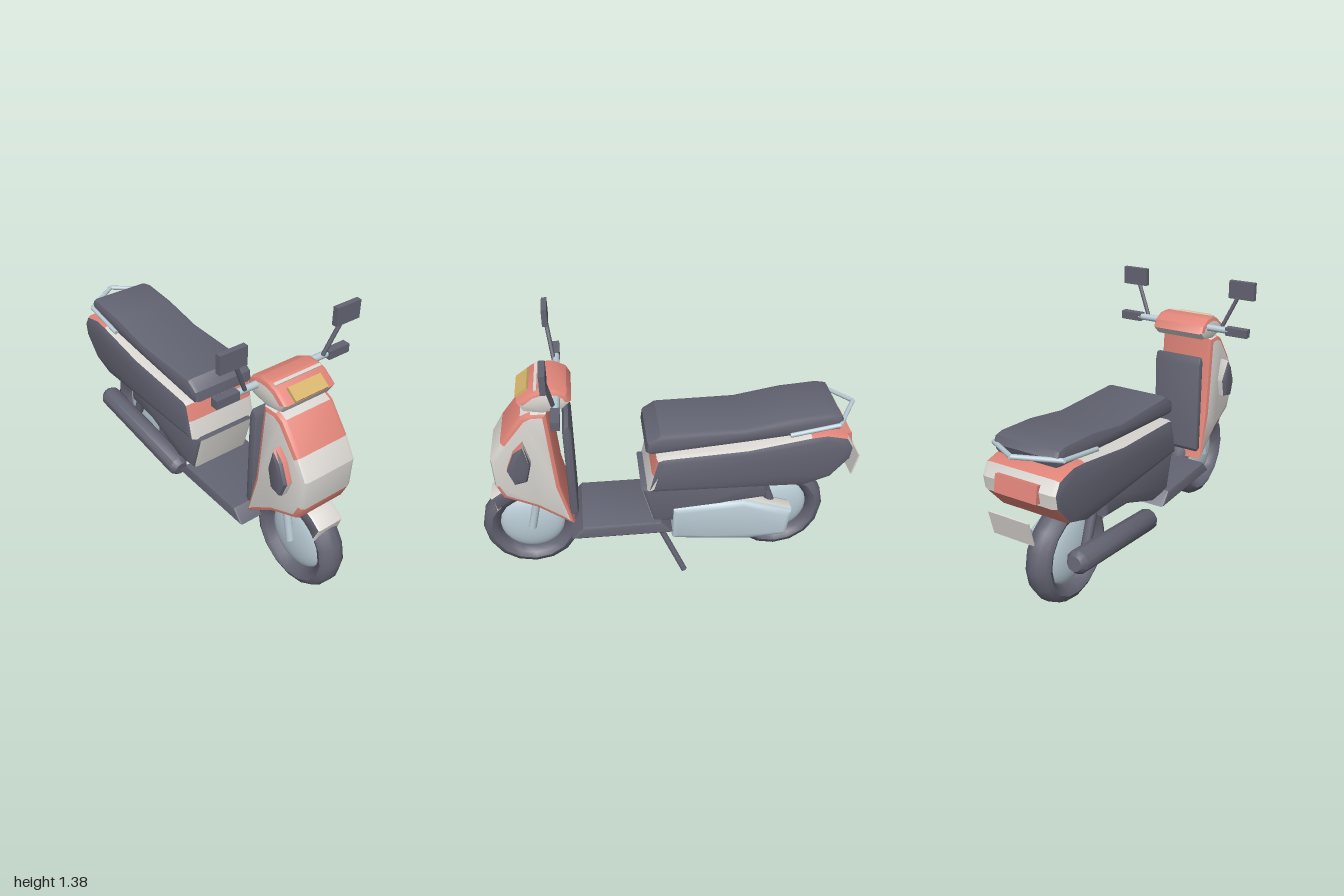
import * as THREE from 'three';
import { toCreasedNormals } from 'three/addons/utils/BufferGeometryUtils.js';

const V = (x, y, z) => new THREE.Vector3(x, y, z);
const material = (name, color) => Object.assign(new THREE.MeshStandardMaterial({ color }), { name });

export function createModel() {
  const red = material('coral paint', 0xe18579);
  const white = material('warm white paint', 0xdad7d2);
  const dark = material('dark slate', 0x636472);
  const steel = material('pale steel', 0xbaccd5);
  const amber = material('amber lens', 0xd6b56b);
  const palette = [red, white, dark, steel];
  const [RED, WHITE, DARK, STEEL] = [0, 1, 2, 3];

  const model = new THREE.Group();
  model.name = 'scooter';

  function add(name, geometry, mat, position) {
    const mesh = new THREE.Mesh(geometry, mat);
    mesh.name = name;
    if (position) mesh.position.copy(position);
    model.add(mesh);
    return mesh;
  }

  // Side profile of [z, y] points, extruded across x with chamfered edges
  function slab(points, x0, x1, bevel, crease = 0.5) {
    const shape = new THREE.Shape(points.map(([z, y]) => new THREE.Vector2(z, y)));
    const geo = new THREE.ExtrudeGeometry(shape, {
      depth: x1 - x0 - 2 * bevel, bevelEnabled: true, bevelSize: bevel,
      bevelThickness: bevel, bevelOffset: -bevel, bevelSegments: 2,
    });
    geo.rotateY(-Math.PI / 2);
    geo.translate(x1 - bevel, 0, 0);
    return toCreasedNormals(geo, crease);
  }

  // Assign a palette entry to each triangle from its centre and normal
  function paint(geo, rule) {
    const p = geo.attributes.position, tri = new THREE.Triangle();
    const c = V(), n = V();
    geo.clearGroups();
    let start = 0, current = -1;
    for (let i = 0; i < p.count; i += 3) {
      tri.setFromAttributeAndIndices(p, i, i + 1, i + 2);
      const index = rule(tri.getMidpoint(c), tri.getNormal(n));
      if (index !== current) {
        if (i > start) geo.addGroup(start, i - start, current);
        start = i;
        current = index;
      }
    }
    geo.addGroup(start, p.count - start, current);
    return geo;
  }

  // Straight round bar between two points
  function bar(name, a, b, r, mat, sides = 10) {
    const mesh = add(name, new THREE.CylinderGeometry(r, r, a.distanceTo(b), sides), mat);
    mesh.position.copy(a).add(b).multiplyScalar(0.5);
    mesh.quaternion.setFromUnitVectors(V(0, 1, 0), b.clone().sub(a).normalize());
  }

  // Wheels: faceted tyre with a domed disc
  const section = [];
  for (let i = 0; i <= 10; i++) {
    const a = i / 10 * Math.PI * 2 + Math.PI / 10;
    section.push(new THREE.Vector2(0.218 + 0.047 * Math.cos(a), 0.07 * Math.sin(a)));
  }
  for (const [name, z] of [['front', 0.74], ['rear', -0.59]]) {
    const tyre = new THREE.LatheGeometry(section, 16);
    tyre.rotateZ(Math.PI / 2);
    add(name + 'Tyre', toCreasedNormals(tyre, 0.75), dark, V(0, 0.27, z));
    const disc = new THREE.SphereGeometry(0.176, 24, 14);
    disc.scale(0.33, 1, 1);
    add(name + 'WheelDisc', disc, steel, V(0, 0.27, z));
  }

  // Front mudguard: arched channel, pale crown with dark cheeks
  const arch = [];
  for (const [r, from, to] of [[0.29, 47, 125], [0.212, 125, 36]])
    for (let i = 0; i <= 6; i++) {
      const a = THREE.MathUtils.degToRad(from + (to - from) * i / 6);
      arch.push([0.74 + r * Math.cos(a), 0.27 + r * Math.sin(a)]);
    }
  add('frontMudguard', paint(slab(arch, -0.078, 0.078, 0.015),
    (c, n) => Math.abs(n.x) > 0.9 ? DARK : WHITE), palette);

  // Fork legs, rear shock absorbers
  for (const s of [1, -1]) {
    bar('forkLeg', V(s * 0.062, 0.48, 0.695), V(s * 0.062, 0.27, 0.74), 0.021, steel);
    bar('shockAbsorber', V(s * 0.095, 0.55, -0.47), V(s * 0.095, 0.3, -0.56), 0.026, dark);
  }

  // Front shield: pale sides and nose, coral bands and rear edge
  const shield = slab([
    [0.73, 1.02], [0.68, 1.042], [0.60, 1.04], [0.585, 0.85], [0.565, 0.6], [0.51, 0.34],
    [0.57, 0.375], [0.70, 0.47], [0.86, 0.545], [0.893, 0.62], [0.90, 0.78], [0.84, 0.88],
  ].reverse(), -0.155, 0.155, 0.025);
  add('frontShield', paint(shield, (c, n) => {
    if (Math.abs(n.x) > 0.93 || n.y > 0.85) return WHITE;
    if (n.z < -0.2) return RED;
    return c.y > 0.88 || c.y < 0.615 ? RED : WHITE;
  }), palette);

  // Side vents on the shield
  const vent = [[0.73, 0.89], [0.70, 0.77], [0.725, 0.67], [0.79, 0.655], [0.82, 0.74], [0.78, 0.84]].reverse();
  for (const s of [1, -1]) {
    const geo = slab(vent, s > 0 ? 0.12 : -0.205, s > 0 ? 0.205 : -0.12, 0.022);
    add('shieldVent', paint(geo, (c, n) =>
      Math.abs(n.x) > 0.35 ? DARK : n.z > 0.2 && n.y > -0.1 ? RED : WHITE), palette);
  }

  // Leg panel behind the shield
  add('legPanel', slab([
    [0.53, 0.40], [0.537, 0.92], [0.525, 0.95], [0.505, 0.95], [0.492, 0.91], [0.488, 0.41], [0.50, 0.39],
  ], -0.14, 0.14, 0.012), dark);

  // Floorboard
  add('floorboard', slab([[0.53, 0.278], [0.47, 0.348], [0.06, 0.348], [0.0, 0.278]], -0.2, 0.2, 0.012), dark);

  // Handlebar cover: coral over pale, with a trim strip and headlamp
  const cover = slab([
    [0.74, 1.10], [0.67, 1.15], [0.62, 1.166], [0.56, 1.165], [0.50, 1.135], [0.48, 1.095],
    [0.52, 1.055], [0.62, 1.037], [0.71, 1.053],
  ], -0.155, 0.155, 0.024);
  add('handlebarCover', paint(cover, (c, n) =>
    Math.abs(n.x) > 0.93 || c.y < 1.093 ? WHITE : RED), palette);
  add('coverTrim', new THREE.BoxGeometry(0.27, 0.008, 0.016), white, V(0, 1.16, 0.645)).rotation.x = 0.3;
  add('headlamp', new THREE.BoxGeometry(0.19, 0.02, 0.072), amber, V(0, 1.126, 0.712)).rotation.x = 0.62;

  // Handlebars, grips and mirrors
  for (const s of [1, -1]) {
    bar('handlebar', V(s * 0.12, 1.12, 0.55), V(s * 0.28, 1.12, 0.55), 0.018, steel);
    add('grip', new THREE.BoxGeometry(0.125, 0.044, 0.042), dark, V(s * 0.327, 1.118, 0.554));
    bar('mirrorStem', V(s * 0.23, 1.13, 0.563), V(s * 0.31, 1.31, 0.59), 0.011, dark, 8);
    add('mirror', new THREE.BoxGeometry(0.145, 0.094, 0.028), dark, V(s * 0.327, 1.337, 0.592));
  }

  // Rear body: dark sides, coral and pale ends
  const body = slab([
    [0.13, 0.555], [0.105, 0.66], [0.08, 0.75], [0.05, 0.762], [-0.38, 0.785], [-0.70, 0.838],
    [-0.78, 0.845], [-0.89, 0.82], [-0.925, 0.76], [-0.915, 0.69], [-0.82, 0.58], [-0.69, 0.535],
  ].reverse(), -0.208, 0.208, 0.03);
  add('rearBody', paint(body, (c, n) => {
    if (Math.abs(n.x) > 0.9) return DARK;
    if (n.z > 0.5) return Math.abs(n.x) > 0.6 ? DARK : c.y > 0.66 ? RED : WHITE;
    if (c.z < -0.68) return n.y > 0.55 || n.y < -0.4 ? RED : WHITE;
    return n.y > 0 ? WHITE : DARK;
  }), palette);

  // Housing under the rear body, with a pale front
  const housing = slab([
    [0.16, 0.56], [0.10, 0.335], [-0.05, 0.33], [-0.30, 0.43], [-0.50, 0.45], [-0.50, 0.57],
  ].reverse(), -0.172, 0.172, 0.02);
  add('underseatHousing', paint(housing, (c, n) =>
    n.z > 0.4 && Math.abs(n.x) < 0.85 ? WHITE : DARK), palette);

  // Seat
  add('seat', slab([
    [0.133, 0.785], [0.125, 0.84], [0.06, 0.882], [-0.36, 0.887], [-0.6, 0.93], [-0.8, 0.945],
    [-0.85, 0.935], [-0.868, 0.9], [-0.85, 0.855], [-0.6, 0.832], [-0.37, 0.81], [0.11, 0.77],
  ], -0.18, 0.18, 0.025), dark);

  // Grab rail round the tail
  const rail = [V(0.19, 0.85, -0.59), V(0.19, 0.893, -0.84), V(0, 0.912, -0.955),
    V(-0.19, 0.893, -0.84), V(-0.19, 0.85, -0.59)];
  for (let i = 0; i < 4; i++) bar('grabRail', rail[i], rail[i + 1], 0.012, steel, 8);

  // Tail lamp and rear plate
  add('tailLamp', new THREE.BoxGeometry(0.23, 0.085, 0.035), red, V(0, 0.748, -0.922)).rotation.x = 0.18;
  add('rearPlate', new THREE.BoxGeometry(0.22, 0.125, 0.008), white, V(0, 0.58, -0.98)).rotation.x = -0.24;

  // Engine cover on the left side: steel face, pale rim
  const engine = slab([
    [0.0, 0.42], [-0.26, 0.44], [-0.38, 0.44], [-0.645, 0.35], [-0.625, 0.19], [-0.41, 0.175],
    [-0.18, 0.197], [0.0, 0.22],
  ].reverse(), 0.065, 0.19, 0.03, 0.9);
  add('engineCover', paint(engine, (c, n) => n.x > 0.3 ? STEEL : WHITE), palette);

  // Exhaust on the right side: chamfered pipe
  const front = V(-0.152, 0.228, -0.05), rear = V(-0.174, 0.34, -0.77);
  const along = rear.clone().sub(front).normalize();
  const length = front.distanceTo(rear);
  const pipe = new THREE.LatheGeometry([
    [0, 0], [0.038, 0], [0.059, 0.03], [0.059, length - 0.03], [0.038, length], [0, length],
  ].map(([r, y]) => new THREE.Vector2(r, y)), 10);
  add('exhaust', toCreasedNormals(pipe, 0.7), dark, front)
    .quaternion.setFromUnitVectors(V(0, 1, 0), along);

  // Kickstand
  bar('kickstand', V(0.17, 0.28, 0.06), V(0.22, 0.025, -0.06), 0.016, dark, 8);

  return model;
}
